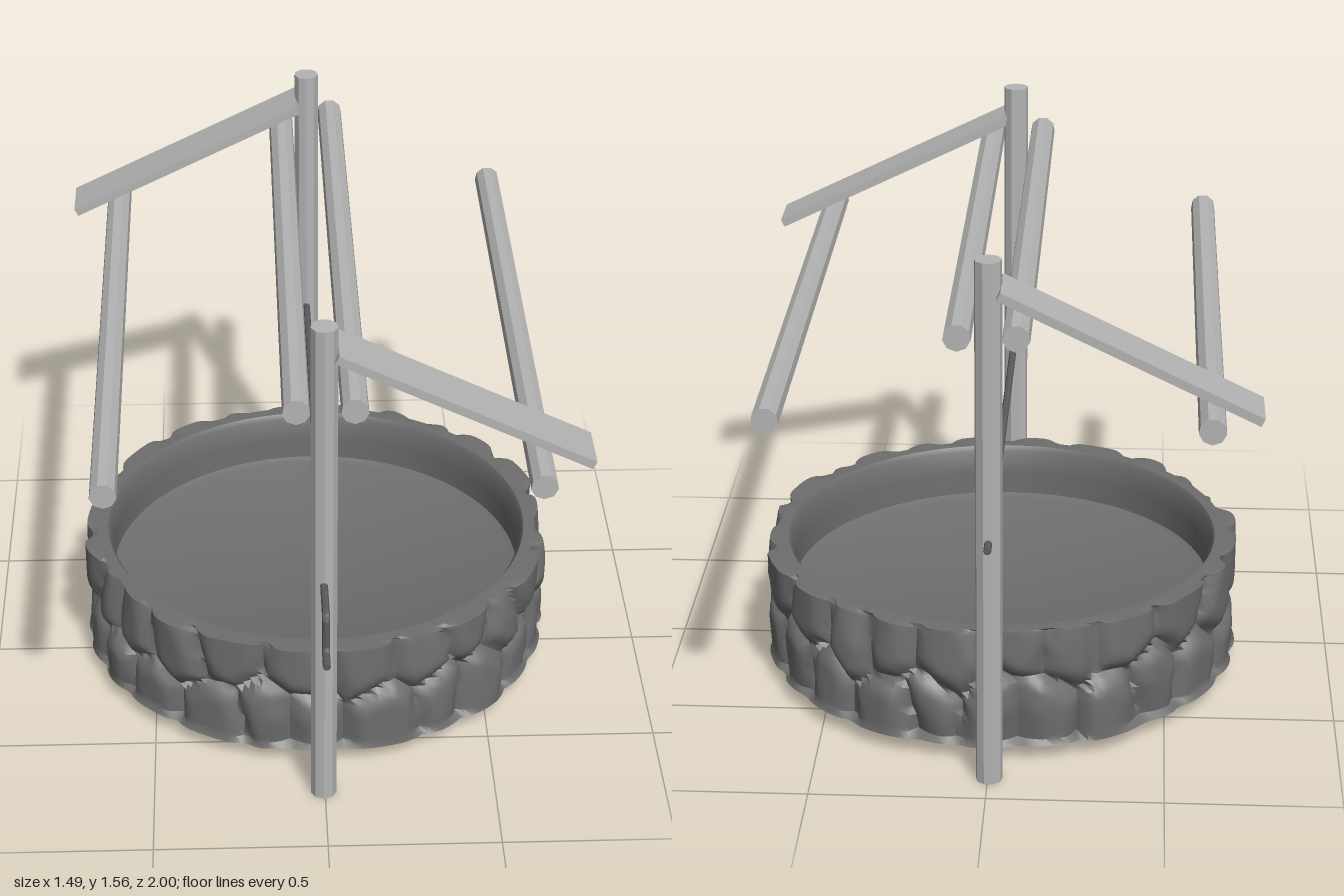
import * as THREE from 'three';
import { toCreasedNormals } from 'three/addons/utils/BufferGeometryUtils.js';

const wood = new THREE.MeshStandardMaterial({ color: 0xb4b4b4, flatShading: true });
wood.name = 'pale wood';
const stone = new THREE.MeshStandardMaterial({ color: 0x6e6e6e });
stone.name = 'dark stone';
const iron = new THREE.MeshStandardMaterial({ color: 0x5c5c5c, flatShading: true });
iron.name = 'iron';

function add(group, name, geometry, material, x = 0, y = 0, z = 0) {
  const mesh = new THREE.Mesh(geometry, material);
  mesh.name = name;
  mesh.position.set(x, y, z);
  group.add(mesh);
  return mesh;
}

function seeded(seed) {
  return () => (seed = (seed * 16807) % 2147483647) / 2147483647;
}

// Round basin: a lathe whose outer wall is pushed into irregular rounded stones
function basinGeometry() {
  const R = 0.72, bottom = 0.05, top = 0.41, rows = 22;
  const points = [new THREE.Vector2(0, bottom)];
  for (let i = 0; i <= rows; i++) points.push(new THREE.Vector2(R, bottom + (top - bottom) * i / rows));
  [[0.68, top], [0.645, top], [0.635, top - 0.015], [0.632, 0.32], [0.63, 0.25], [0.61, 0.24], [0, 0.24]]
    .forEach(([r, y]) => points.push(new THREE.Vector2(r, y)));
  const geo = new THREE.LatheGeometry(points, 216);

  // Two staggered rows of stone centres
  const rand = seeded(4711), stones = [], perRow = 24, around = Math.PI * 2 * R;
  for (let row = 0; row < 2; row++) {
    for (let i = 0; i < perRow; i++) {
      stones.push({
        u: (i + row * 0.5 + (rand() - 0.5) * 0.6) / perRow * around,
        y: 0.14 + row * 0.18 + (rand() - 0.5) * 0.09,
        inset: rand() * 0.022,
        tilt: (rand() - 0.5) * 0.2,
        lean: (rand() - 0.5) * 0.15,
      });
    }
  }

  const pos = geo.attributes.position;
  for (let i = 0; i < pos.count; i++) {
    const x = pos.getX(i), y = pos.getY(i), z = pos.getZ(i);
    if (Math.hypot(x, z) < R - 0.01) continue;
    const u = Math.atan2(x, z) * R;
    let d1 = 9, d2 = 9, near = null, side = 0;
    for (const s of stones) {
      let du = u - s.u;
      du -= Math.round(du / around) * around;
      const d = Math.hypot(du, y - s.y);
      if (d < d1) { d2 = d1; d1 = d; near = s; side = du; }
      else if (d < d2) d2 = d;
    }
    const joint = Math.pow(1 - Math.min(1, (d2 - d1) / 0.11), 2);
    const edge = y < bottom + 0.01 ? 0.4 : 1;
    const inset = near.inset + near.tilt * side + near.lean * (y - near.y) + 0.038 * joint;
    const r = Math.min(R, R - edge * inset);
    const a = u / R;
    // joints also chip the outer lip of the rim
    const drop = y > top - 0.001 ? 0.012 * joint : 0;
    pos.setXYZ(i, Math.sin(a) * r, y - drop, Math.cos(a) * r);
  }
  return toCreasedNormals(geo, 0.7);
}

export function createModel() {
  const model = new THREE.Group();
  model.name = 'well';

  add(model, 'stoneBasin', basinGeometry(), stone, 0, 0, -0.09);

  // Upright posts
  const post = new THREE.CylinderGeometry(0.038, 0.038, 1.56, 9);
  add(model, 'frontPost', post, wood, -0.004, 0.78, 0.745);
  add(model, 'backPost', post, wood, -0.004, 0.78, -0.885);

  // Roof beams: two near the ridge, two at the eaves
  const beam = new THREE.CylinderGeometry(0.038, 0.038, 1.89, 9).rotateX(Math.PI / 2);
  [['rightEaveBeam', -0.605, 1.127], ['rightRidgeBeam', -0.084, 1.38],
    ['leftRidgeBeam', 0.073, 1.38], ['leftEaveBeam', 0.587, 1.133]]
    .forEach(([name, x, y]) => add(model, name, beam, wood, x, y, -0.055));

  // Sloping roof boards, one on each side
  const board = new THREE.BoxGeometry(0.785, 0.025, 0.157);
  add(model, 'frontRoofBoard', board, wood, 0.382, 1.305, 0.706).rotation.z = -0.453;
  add(model, 'backRoofBoard', board, wood, -0.387, 1.305, -0.868).rotation.z = 0.453;

  // Crank rod with a stepped handle
  const crank = new THREE.CurvePath();
  const path = [[0.75, -0.97], [0.75, 0.915], [0.738, 0.927], [0.641, 0.927], [0.629, 0.939], [0.629, 1.0]]
    .map(([y, z]) => new THREE.Vector3(-0.005, y, z));
  for (let i = 1; i < path.length; i++) crank.add(new THREE.LineCurve3(path[i - 1], path[i]));
  add(model, 'crankRod', new THREE.TubeGeometry(crank, 220, 0.011, 8), iron);
  for (const [end, face, name] of [[path[0], Math.PI, 'crankBackCap'], [path[5], 0, 'crankFrontCap']]) {
    add(model, name, new THREE.CircleGeometry(0.011, 8), iron, end.x, end.y, end.z).rotation.y = face;
  }

  return model;
}
